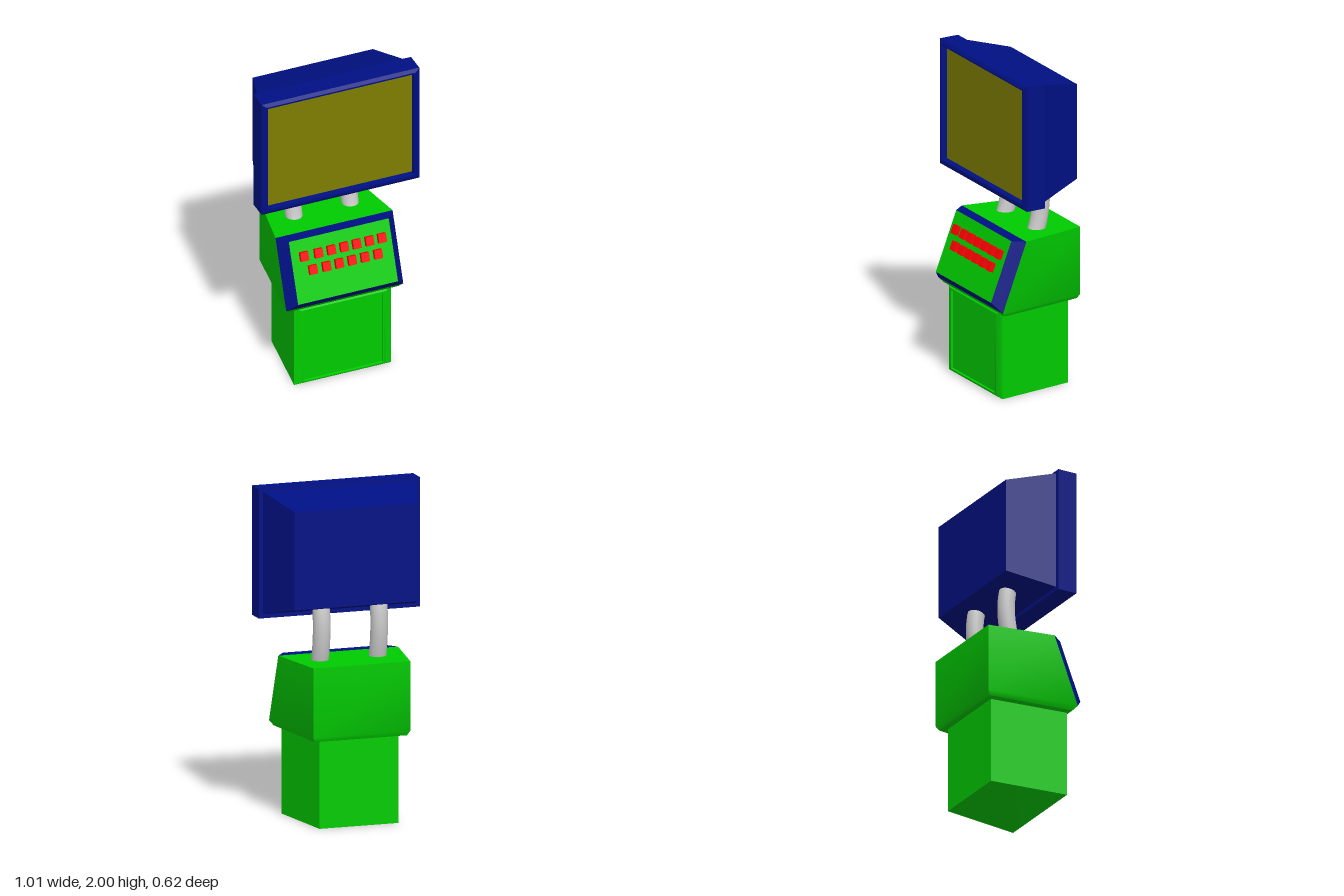
import * as THREE from 'three';
import { toCreasedNormals } from 'three/addons/utils/BufferGeometryUtils.js';

const mat = color => new THREE.MeshStandardMaterial({ color });
const GREEN = mat(0x00cc00), BLUE = mat(0x001084), OLIVE = mat(0x7e7e00), RED = mat(0xff0000);
const GREY = mat(0xcccccc);
const CX = -0.008; // pedestal and console sit slightly off the screen's centre line

// Skins a series of four-cornered rings, counter-clockwise seen from the last ring's side;
// edges bent by less than the crease angle are shaded smoothly
function loft(rings, { capStart = true, capEnd = true, crease = 0.01 } = {}) {
  const idx = [];
  for (let i = 0; i < rings.length - 1; i++) {
    for (let j = 0; j < 4; j++) {
      const a = i * 4 + j, b = i * 4 + (j + 1) % 4;
      idx.push(a, b, b + 4, a, b + 4, a + 4);
    }
  }
  if (capStart) idx.push(0, 2, 1, 0, 3, 2);
  const e = (rings.length - 1) * 4;
  if (capEnd) idx.push(e, e + 1, e + 2, e, e + 2, e + 3);
  const g = new THREE.BufferGeometry();
  g.setAttribute('position', new THREE.Float32BufferAttribute(rings.flat(2), 3));
  g.setIndex(idx);
  return toCreasedNormals(g, crease);
}

// Upright rectangle facing +z; zTop lets it lean
const rect = (cx, w, y0, y1, z, zTop = z) =>
  [[cx - w, y0, z], [cx + w, y0, z], [cx + w, y1, zTop], [cx - w, y1, zTop]];
// Level trapezoid facing +y
const slab = (y, wFront, zFront, wBack, zBack) =>
  [[CX - wFront, y, zFront], [CX + wFront, y, zFront], [CX + wBack, y, zBack], [CX - wBack, y, zBack]];

export function createModel() {
  const model = new THREE.Group();
  const add = (name, geometry, material, parent = model) => {
    const m = new THREE.Mesh(geometry, material);
    m.name = name;
    parent.add(m);
    return m;
  };

  // Pedestal narrowing to the back, with bevelled front and a recessed panel
  add('pedestal', loft([
    rect(CX, 0.247, 0, 0.54, -0.26),
    rect(CX, 0.31, 0, 0.54, 0.225),
    rect(CX, 0.268, 0.018, 0.525, 0.245),
    rect(CX, 0.253, 0.025, 0.512, 0.245),
    rect(CX, 0.25, 0.027, 0.51, 0.232),
  ], { crease: 0.9 }), GREEN);

  // Console body, narrowing to the back, with a softly chamfered underside
  add('consoleBody', loft([
    slab(0.532, 0.355, 0.235, 0.288, -0.295),
    slab(0.56, 0.375, 0.26, 0.303, -0.31),
    slab(0.98, 0.375, 0.1, 0.303, -0.31),
  ], { crease: 0.9 }), GREEN);

  // Sloping bezel and control panel
  const panelFront = rect(CX, 0.32, 0.62, 0.98, 0.31, 0.17);
  add('consoleBezel', loft([rect(CX, 0.375, 0.56, 0.98, 0.26, 0.1), panelFront], { capEnd: false }), BLUE);
  add('controlPanel', loft([panelFront], { capStart: false }), GREEN);

  // Two staggered rows of buttons lying on the slope
  const buttons = new THREE.Group();
  buttons.name = 'buttons';
  model.add(buttons);
  const buttonShape = new THREE.BoxGeometry(0.05, 0.055, 0.05);
  const slope = 0.14 / 0.36;
  const rows = [
    [0.884, [-0.251, -0.159, -0.077, 0.005, 0.085, 0.167, 0.247]],
    [0.8, [-0.208, -0.122, -0.04, 0.042, 0.124, 0.208]],
  ];
  for (const [y, xs] of rows) {
    for (const x of xs) {
      const b = add('button', buttonShape, RED, buttons);
      b.position.set(x, y, 0.17 + (0.98 - y) * slope);
      b.rotation.x = -Math.atan(slope);
    }
  }

  // Curved necks carrying the screen
  for (const [name, x] of [['rightNeck', -0.187], ['leftNeck', 0.173]]) {
    const path = new THREE.CatmullRomCurve3([
      [0.92, -0.062], [0.98, -0.085], [1.08, -0.107], [1.18, -0.115], [1.28, -0.106], [1.36, -0.08],
    ].map(([y, z]) => new THREE.Vector3(x, y, z)));
    add(name, new THREE.TubeGeometry(path, 20, 0.052, 20), GREY);
  }

  // Screen housing, tapering to the back
  add('screenHousing', loft([
    rect(0, 0.385, 1.32, 1.91, -0.235),
    rect(0, 0.48, 1.245, 1.985, 0.06),
  ]), BLUE);

  // Screen frame with bevelled rim and deeply set glass
  const glass = rect(0, 0.468, 1.26, 1.968, 0.152);
  add('screenFrame', loft([
    rect(0, 0.505, 1.222, 2, 0.054),
    rect(0, 0.505, 1.222, 2, 0.177),
    rect(0, 0.478, 1.242, 1.98, 0.19),
    rect(0, 0.47, 1.258, 1.97, 0.19),
    glass,
  ], { capEnd: false }), BLUE);
  add('screen', loft([glass], { capStart: false }), OLIVE);

  return model;
}
